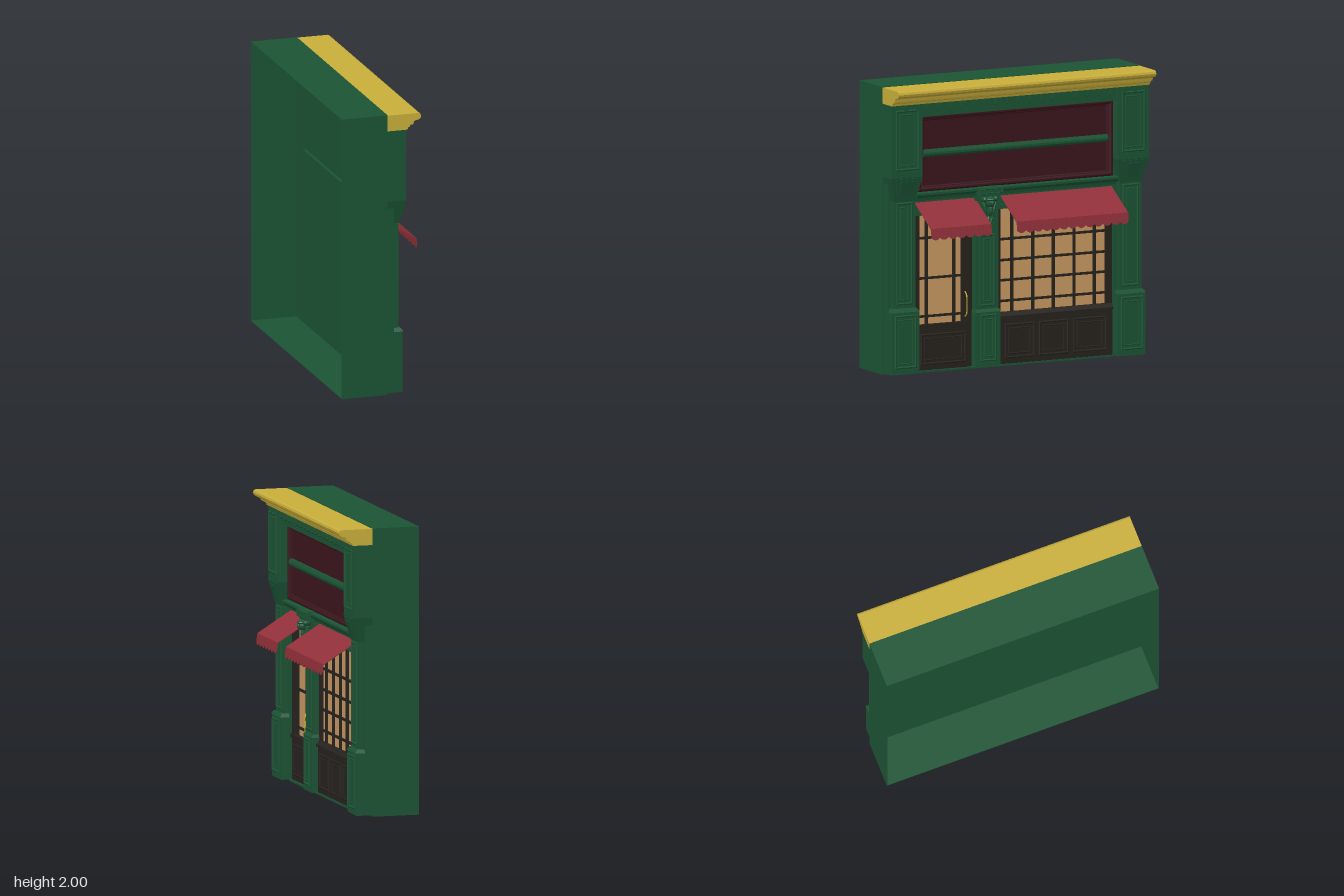
import * as THREE from 'three';

const mat = (color) => new THREE.MeshStandardMaterial({ color, flatShading: true, side: THREE.DoubleSide });

export function createModel() {
  const root = new THREE.Group();
  const green = mat(0x1b5434), gold = mat(0xc8ae3a), red = mat(0x92303a);
  const maroon = mat(0x3b161d), dark = mat(0x26221e), glass = mat(0xc99a63);

  const add = (name, geo, m, parent = root) => {
    const mesh = new THREE.Mesh(geo, m);
    mesh.name = name;
    parent.add(mesh);
    return mesh;
  };
  // Box given by its limits
  const box = (name, m, x0, x1, y0, y1, z0, z1) => {
    const mesh = add(name, new THREE.BoxGeometry(x1 - x0, y1 - y0, Math.abs(z1 - z0)), m);
    mesh.position.set((x0 + x1) / 2, (y0 + y1) / 2, (z0 + z1) / 2);
    return mesh;
  };
  // Side profile (x, y) swept along z
  const sweep = (name, m, pts, z0, z1) => {
    const shape = new THREE.Shape(pts.map((p) => new THREE.Vector2(...p)));
    const mesh = add(name, new THREE.ExtrudeGeometry(shape, { depth: z1 - z0, bevelEnabled: false }), m);
    mesh.position.z = z0;
    return mesh;
  };
  const rect = (C, w, h) => new C([[-w, -h], [w, -h], [w, h], [-w, h]].map(([a, b]) => new THREE.Vector2(a / 2, b / 2)));
  // Rectangular moulding facing +x
  const frame = (name, m, x, y0, y1, z0, z1, t = 0.014, d = 0.012) => {
    const w = z1 - z0, h = y1 - y0, b = Math.min(t, d) * 0.4;
    const shape = rect(THREE.Shape, w, h);
    shape.holes.push(rect(THREE.Path, w - 2 * t, h - 2 * t));
    const geo = new THREE.ExtrudeGeometry(shape, {
      depth: d - b, bevelThickness: b, bevelSize: b, bevelOffset: -b, bevelSegments: 1,
    });
    const mesh = add(name, geo, m);
    mesh.rotation.y = Math.PI / 2;
    mesh.position.set(x, (y0 + y1) / 2, (z0 + z1) / 2);
  };
  // Moulding with a raised field inside it
  const panel = (name, m, x, y0, y1, z0, z1) => {
    frame(name + 'Moulding', m, x, y0, y1, z0, z1);
    const g = 0.03;
    frame(name + 'Field', m, x, y0 + g, y1 - g, z0 + g, z1 - g, 0.008, 0.007);
    box(name + 'Centre', m, x - 0.004, x + 0.004, y0 + g, y1 - g, z0 + g, z1 - g);
  };
  // Block whose depth and width grow from bottom to top
  const flare = (name, zc, y0, y1, x0, x1, w0, w1) => {
    const geo = new THREE.BoxGeometry(1, 1, 1);
    const p = geo.attributes.position;
    for (let i = 0; i < p.count; i++) {
      const top = p.getY(i) > 0;
      p.setXYZ(i, p.getX(i) > 0 ? (top ? x1 : x0) : 0.02, top ? y1 : y0, zc + p.getZ(i) * (top ? w1 : w0));
    }
    geo.computeVertexNormals();
    add(name, geo, green);
  };

  // Building shell, open at the back
  const T = 0.006;
  box('frontWall', green, 0.014, 0.02, 0, 2, -1, 1);
  box('roof', green, -0.313, 0.02, 2 - T, 2, -1, 1);
  box('floor', green, -0.313, 0.02, 0, T, -1, 1);
  for (const s of [-1, 1]) box('sideWall', green, -0.313, 0.02, 0, 2, s * (1 - T), s);
  box('threshold', green, 0.02, 0.075, 0, 0.012, -0.77, 0.77);

  // Cornice
  sweep('cornice', gold, [[0.02, 1.885], [0.163, 1.885], [0.168, 1.9], [0.18, 1.905], [0.185, 1.918], [0.205, 1.92],
    [0.21, 1.94], [0.222, 1.948], [0.245, 1.95], [0.257, 1.96], [0.262, 1.975], [0.257, 1.99], [0.245, 1.997], [0.02, 1.997]], -1, 1);

  // Frieze with hanging teeth
  box('frieze', green, 0.02, 0.135, 1.79, 1.885, -0.77, 0.77);
  for (let i = -10; i <= 10; i++) {
    const z = i * 0.089, x0 = Math.abs(i) > 8 ? 0.14 : 0.12;
    box('tooth', green, x0, 0.164, 1.845, 1.885, z - 0.013, z + 0.013);
    const tip = add('toothTip', new THREE.CylinderGeometry(0.013, 0.013, 0.155 - x0, 10), green);
    tip.rotation.z = Math.PI / 2;
    tip.position.set((x0 + 0.155) / 2, 1.842, z);
  }

  // Side pilasters
  for (const s of [-1, 1]) {
    const zc = s * 0.878;
    const span = (w) => [zc - w / 2, zc + w / 2];
    box('pilasterHead', green, 0.02, 0.152, 1.38, 1.885, s * 0.757, s);
    panel('pilasterHeadPanel', green, 0.152, 1.43, 1.85, ...span(0.18));
    flare('pilasterFlare', zc, 1.21, 1.38, 0.118, 0.157, 0.16, 0.24);
    flare('pilasterFlareBorder', zc, 1.225, 1.37, 0.126, 0.163, 0.125, 0.18);
    flare('pilasterFlareField', zc, 1.25, 1.35, 0.138, 0.168, 0.075, 0.115);
    box('pilasterShaft', green, 0.02, 0.108, 0.46, 1.21, ...span(0.166));
    box('pilasterBacking', green, 0.02, 0.07, 0.44, 1.38, ...span(0.215));
    panel('pilasterShaftPanel', green, 0.108, 0.49, 1.2, ...span(0.128));
    box('pilasterBase', green, 0.02, 0.13, 0.008, 0.44, ...span(0.214));
    flare('pilasterBaseCap', zc, 0.44, 0.465, 0.138, 0.122, 0.214, 0.18);
    panel('pilasterBasePanel', green, 0.13, 0.05, 0.42, ...span(0.17));
  }

  // Sign board with a rail across it
  box('signBoard', maroon, 0.02, 0.065, 1.26, 1.79, -0.76, 0.76);
  frame('signBorder', maroon, 0.065, 1.26, 1.79, -0.76, 0.76, 0.03, 0.025);
  frame('signMoulding', maroon, 0.065, 1.285, 1.765, -0.725, 0.725, 0.014, 0.016);
  sweep('signRail', green, [[0.06, 1.5], [0.085, 1.5], [0.095, 1.515], [0.095, 1.53], [0.085, 1.55], [0.06, 1.55]], -0.715, 0.715);

  // Beam below the sign
  sweep('beam', green, [[-0.01, 1.2], [0.085, 1.2], [0.09, 1.22], [0.11, 1.225], [0.12, 1.24], [0.12, 1.255], [-0.01, 1.262]], -0.78, 0.78);
  box('awningFascia', green, 0.02, 0.06, 1.09, 1.2, -0.77, 0.77);
  box('fasciaRail', green, 0.02, 0.075, 1.1, 1.12, -0.77, 0.77);

  // Centre pilaster
  const C = 0.225;
  box('centreShaft', green, 0.02, 0.09, 0.39, 1.2, C - 0.09, C + 0.09);
  panel('centreShaftPanel', green, 0.09, 0.43, 0.93, C - 0.063, C + 0.063);
  box('centreBase', green, 0.02, 0.108, 0.008, 0.39, C - 0.097, C + 0.097);
  flare('centreBaseCap', C, 0.39, 0.41, 0.112, 0.095, 0.195, 0.18);
  panel('centreBasePanel', green, 0.108, 0.05, 0.375, C - 0.065, C + 0.065);
  box('consoleCap', green, 0.02, 0.16, 1.215, 1.262, C - 0.092, C + 0.092);
  frame('consoleCapMoulding', green, 0.158, 1.22, 1.257, C - 0.087, C + 0.087, 0.008, 0.006);
  box('consoleNeck', green, 0.02, 0.145, 1.195, 1.215, C - 0.075, C + 0.075);

  // Carved ornament on the console: head, curls and hanging leaves
  const ball = (name, x, y, z, rx, ry, rz, tilt = 0) => {
    const m = add(name, new THREE.SphereGeometry(1, 10, 8), green);
    m.scale.set(rx, ry, rz);
    m.position.set(x, y, C + z);
    m.rotation.x = tilt;
  };
  ball('carvedHead', 0.135, 1.16, 0, 0.045, 0.042, 0.034);
  ball('carvedBrow', 0.15, 1.18, 0, 0.035, 0.014, 0.036);
  ball('carvedNose', 0.172, 1.155, 0, 0.013, 0.018, 0.01);
  ball('carvedChin', 0.14, 1.105, 0, 0.022, 0.045, 0.018);
  ball('carvedDrop', 0.105, 1.0, 0, 0.022, 0.06, 0.013);
  for (const s of [-1, 1]) {
    ball('carvedCurl', 0.125, 1.18, s * 0.042, 0.03, 0.022, 0.018);
    ball('carvedMane', 0.115, 1.11, s * 0.034, 0.026, 0.065, 0.013, s * 0.2);
    ball('carvedLeaf', 0.102, 1.03, s * 0.022, 0.022, 0.065, 0.01, s * 0.28);
  }

  // Awnings: sloped sheet with a scalloped valance
  const awning = (z0, z1, n) => {
    const g = new THREE.Group();
    g.name = 'awning';
    root.add(g);
    g.add(sweep('awningSheet', red, [[0.03, 1.197], [0.03, 1.203], [0.3, 1.035], [0.3, 1.028]], z0, z1));
    const w = z1 - z0, step = w / n;
    const shape = new THREE.Shape().moveTo(-w / 2, 0).lineTo(-w / 2, -0.06);
    for (let i = 0; i < n; i++) {
      const a = -w / 2 + i * step;
      shape.quadraticCurveTo(a + step / 2, -0.096, a + step, -0.06);
    }
    shape.lineTo(w / 2, 0);
    const hinge = new THREE.Group();
    hinge.position.set(0.298, 1.033, (z0 + z1) / 2);
    hinge.rotation.z = 0.13;
    g.add(hinge);
    const valance = add('valance', new THREE.ExtrudeGeometry(shape, { depth: 0.004, bevelEnabled: false, curveSegments: 6 }), red, hinge);
    valance.rotation.y = Math.PI / 2;
  };
  awning(-0.76, 0.105, 13);
  awning(0.302, 0.77, 7);

  // Glazing with a grid of bars
  const glazing = (name, y0, z0, z1, bars, rails) => {
    box(name + 'Glass', glass, 0.02, 0.032, y0, 1.1, z0, z1);
    for (const z of bars) box(name + 'Bar', dark, 0.03, 0.05, y0, 1.1, z - 0.008, z + 0.008);
    for (const y of rails) box(name + 'Rail', dark, 0.03, 0.046, y - 0.008, y + 0.008, z0, z1);
  };

  // Door
  glazing('door', 0.33, 0.4, 0.73, [0.67, 0.457], [0.385, 0.65, 0.93]);
  box('doorStile', dark, 0.02, 0.055, 0.012, 1.1, 0.73, 0.765);
  box('doorStile', dark, 0.02, 0.055, 0.012, 1.1, 0.36, 0.4);
  box('doorJamb', dark, 0.02, 0.045, 0.012, 1.1, 0.315, 0.36);
  box('doorKick', dark, 0.02, 0.055, 0.012, 0.3, 0.36, 0.765);
  box('doorLockRail', dark, 0.02, 0.065, 0.3, 0.33, 0.36, 0.765);
  panel('doorPanel', dark, 0.055, 0.05, 0.265, 0.37, 0.725);
  const handle = add('doorHandle', new THREE.TubeGeometry(new THREE.CatmullRomCurve3([
    [0.05, 0.36], [0.078, 0.39], [0.08, 0.45], [0.078, 0.51], [0.05, 0.54],
  ].map(([x, y]) => new THREE.Vector3(x, y, 0.375))), 16, 0.005, 6), gold);
  handle.name = 'doorHandle';

  // Shop window
  glazing('window', 0.37, -0.72, 0.1, [0.007, -0.156, -0.317, -0.478, -0.634], [0.446, 0.59, 0.73, 0.876]);
  box('windowStile', dark, 0.02, 0.055, 0.012, 1.1, 0.1, 0.135);
  box('windowStile', dark, 0.02, 0.055, 0.012, 1.1, -0.765, -0.72);
  box('windowBase', dark, 0.02, 0.065, 0.012, 0.335, -0.765, 0.13);
  sweep('windowSill', dark, [[0.02, 0.33], [0.078, 0.33], [0.078, 0.345], [0.055, 0.37], [0.02, 0.37]], -0.765, 0.13);
  for (const [z0, z1] of [[-0.155, 0.075], [-0.42, -0.19], [-0.715, -0.455]]) panel('windowPanel', dark, 0.065, 0.05, 0.29, z0, z1);

  return root;
}
